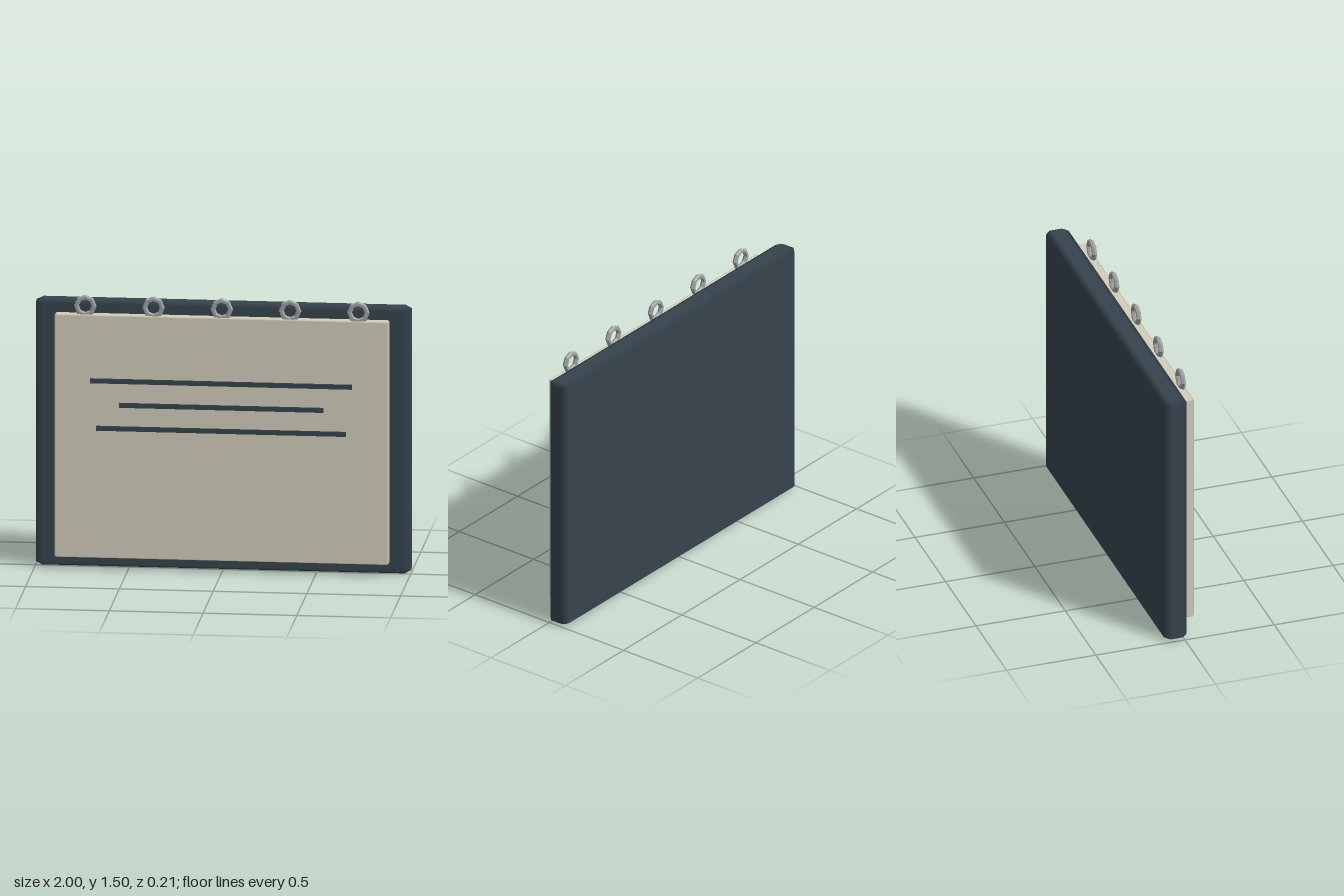
import * as THREE from 'three';
import { ConvexGeometry } from 'three/addons/geometries/ConvexGeometry.js';

// Box with chamfered edges: flat faces, smoothly shaded chamfers
function chamferBox(size, cut) {
  const half = size.map((s) => s / 2);
  const points = [];
  for (const sx of [-1, 1]) for (const sy of [-1, 1]) for (const sz of [-1, 1]) {
    const signs = [sx, sy, sz];
    for (let axis = 0; axis < 3; axis++) {
      points.push(new THREE.Vector3(...signs.map((s, i) => s * (half[i] - (i === axis ? 0 : cut[i])))));
    }
  }
  const geometry = new ConvexGeometry(points);
  const p = geometry.attributes.position;
  // Each vertex lies on exactly one main face and takes that face's normal
  for (let i = 0; i < p.count; i++) {
    const v = [p.getX(i), p.getY(i), p.getZ(i)];
    const n = v.map((c, a) => (Math.abs(c) > half[a] - cut[a] / 2 ? Math.sign(c) : 0));
    geometry.attributes.normal.setXYZ(i, ...n);
  }
  return geometry;
}

export function createModel() {
  const model = new THREE.Group();
  model.name = 'ringBoundBoard';

  const dark = new THREE.MeshStandardMaterial({ color: 0x36434d });
  const cream = new THREE.MeshStandardMaterial({ color: 0xd3cdbb });
  const steel = new THREE.MeshStandardMaterial({ color: 0x9fa3a2, flatShading: true });

  const add = (name, geometry, material, x, y, z) => {
    const mesh = new THREE.Mesh(geometry, material);
    mesh.name = name;
    mesh.position.set(x, y, z);
    model.add(mesh);
  };

  // Backing board and page block
  add('backBoard', chamferBox([2, 1.45, 0.127], [0.034, 0.018, 0.032]), dark, 0, 0.725, -0.0435);
  add('page', chamferBox([1.78, 1.324, 0.063], [0.008, 0.006, 0.009]), cream, 0, 0.728, 0.059);

  // Raised text bars
  [[1.396, 1.035], [1.09, 0.905], [1.332, 0.777]].forEach(([width, y], i) => {
    add(`textBar${i + 1}`, new THREE.BoxGeometry(width, 0.025, 0.012), dark, 0, y, 0.101);
  });

  // Binding rings along the top edge
  const ring = new THREE.TorusGeometry(0.047, 0.014, 6, 8);
  for (let i = 0; i < 5; i++) {
    add(`bindingRing${i + 1}`, ring, steel, (i - 2) * 0.364, 1.435, 0.068);
  }

  return model;
}
